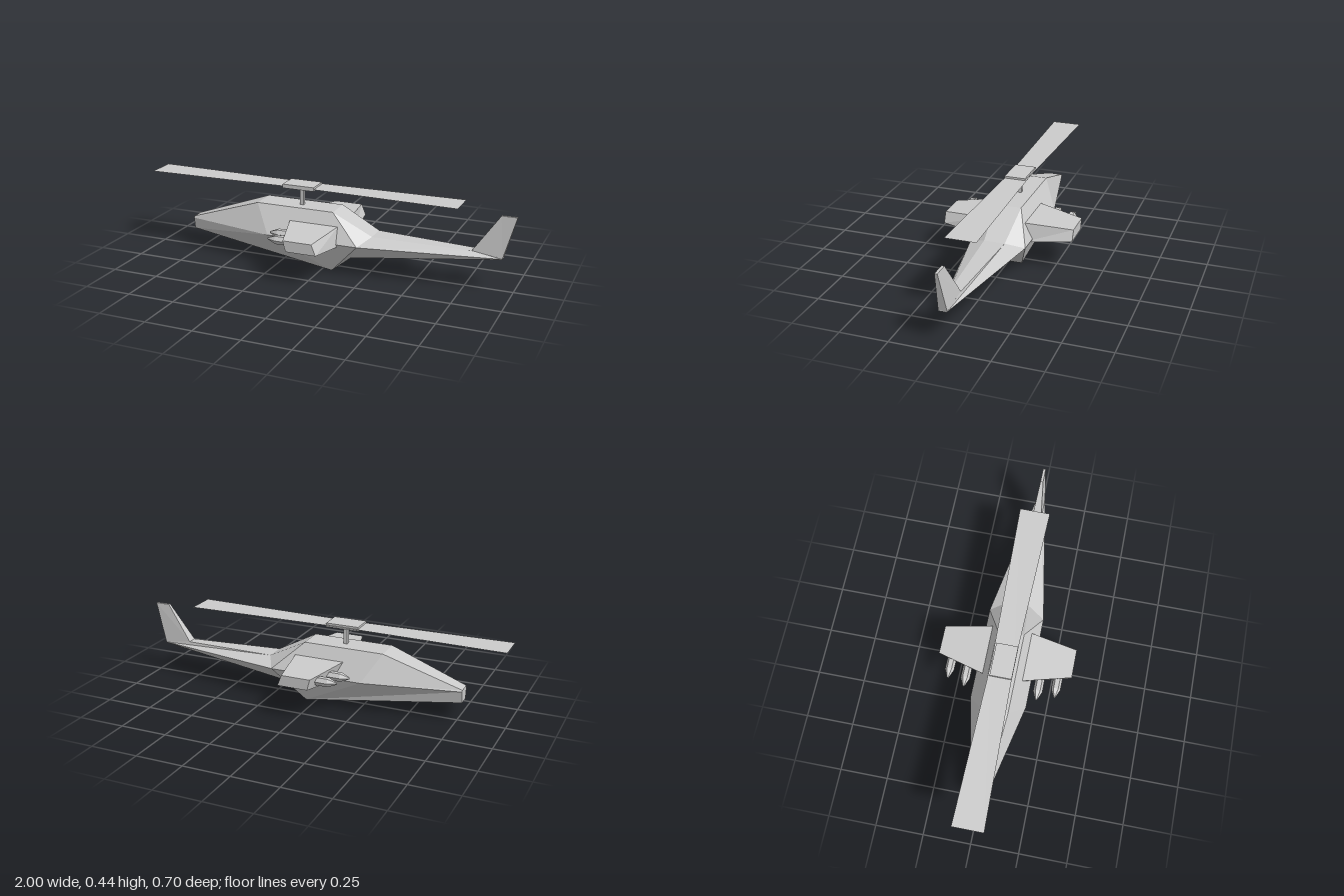
import * as THREE from 'three';

const grey = new THREE.MeshStandardMaterial({ color: 0xcccccc, flatShading: true });
const greyThin = new THREE.MeshStandardMaterial({ color: 0xcccccc, flatShading: true, side: THREE.DoubleSide });

// Skins a row of equal-length rings (counter-clockwise seen from the last ring) and caps both ends.
function loft(rings) {
  const pos = [];
  const tri = (a, b, c) => pos.push(...a, ...b, ...c);
  const n = rings[0].length;
  for (let r = 0; r < rings.length - 1; r++) {
    const a = rings[r], b = rings[r + 1];
    for (let i = 0; i < n; i++) {
      const j = (i + 1) % n;
      tri(a[i], a[j], b[i]);
      tri(b[i], a[j], b[j]);
    }
  }
  const first = rings[0], last = rings[rings.length - 1];
  for (let i = 1; i < n - 1; i++) {
    tri(first[0], first[i + 1], first[i]);
    tri(last[0], last[i], last[i + 1]);
  }
  const g = new THREE.BufferGeometry();
  g.setAttribute('position', new THREE.Float32BufferAttribute(pos, 3));
  g.computeVertexNormals();
  return g;
}

function add(parent, name, geometry, x = 0, y = 0, z = 0, material = grey) {
  const mesh = new THREE.Mesh(geometry, material);
  mesh.name = name;
  mesh.position.set(x, y, z);
  parent.add(mesh);
  return mesh;
}

// Each station: roof edge, waist edge and keel edge as [x, y, half width]
function fuselageGeometry() {
  const waistRear = [0.22, 0.175, 0.147], keel = [0.055, 0, 0.073];
  const tailWaist = [0.94, 0.175, 0.022], tailKeel = [0.94, 0.172, 0.02];
  const stations = [
    [[-0.78, 0.18, 0.035], [-0.78, 0.172, 0.04], [-0.78, 0.11, 0.03]],
    [[-0.37, 0.32, 0.07], [-0.28, 0.175, 0.147], keel],
    [[0.06, 0.32, 0.07], waistRear, keel],
    [[0.27, 0.21, 0.055], waistRear, [0.16, 0.083, 0.065]],
    [[0.79, 0.2, 0.026], tailWaist, tailKeel],
    [[0.94, 0.178, 0.022], tailWaist, tailKeel],
  ];
  return loft(stations.map((s) => [
    ...s,
    ...s.slice().reverse().map(([x, y, w]) => [x, y, -w]),
  ]));
}

// Swept tail fin, thinning towards the top
function finGeometry() {
  const ring = (x0, y0, w0, x1, y1, w1) =>
    [[x0, y0, -w0], [x0, y0, w0], [x1, y1, w1], [x1, y1, -w1]];
  return loft([
    ring(0.785, 0.2, 0.026, 0.94, 0.177, 0.022),
    ring(0.92, 0.393, 0.007, 1, 0.393, 0.007),
  ]);
}

// Thick tapered stub wing; side is +1 or -1
function wingGeometry(side) {
  const ring = (pts, z) => {
    const r = pts.map(([x, y]) => [x, y, z * side]);
    return side > 0 ? r : r.reverse();
  };
  return loft([
    ring([[-0.168, 0.257], [-0.136, 0.157], [0.115, 0.157], [0.1, 0.257]], 0.105),
    ring([[-0.095, 0.238], [-0.08, 0.181], [0.083, 0.181], [0.06, 0.238]], 0.352),
  ]);
}

export function createModel() {
  const model = new THREE.Group();
  model.name = 'helicopter';

  add(model, 'fuselage', fuselageGeometry());
  add(model, 'tailFin', finGeometry());

  for (const side of [1, -1]) {
    const label = side > 0 ? 'left' : 'right';
    add(model, label + 'Wing', wingGeometry(side));

    // Two rockets under each wing, noses towards -x
    for (const [tip, z] of [[-0.24, 0.192], [-0.21, 0.282]]) {
      const rocket = new THREE.Group();
      rocket.name = label + 'Rocket';
      const body = new THREE.CylinderGeometry(0.024, 0.024, 0.16, 6).rotateZ(Math.PI / 2);
      const nose = new THREE.CylinderGeometry(0.005, 0.024, 0.045, 6).rotateZ(Math.PI / 2);
      add(rocket, 'rocketBody', body, 0.125);
      add(rocket, 'rocketNose', nose, 0.0225);
      rocket.position.set(tip, 0.212, z * side);
      model.add(rocket);
    }
  }

  // Rotor: mast, flat hub and one paper-thin blade pair widening to the tips
  const rotor = new THREE.Group();
  rotor.name = 'rotor';
  rotor.position.set(-0.14, 0, 0.004);
  add(rotor, 'mast', new THREE.BoxGeometry(0.02, 0.12, 0.022), 0, 0.36, 0);
  add(rotor, 'hub', new THREE.BoxGeometry(0.176, 0.021, 0.112), 0, 0.425, 0);
  const blade = new THREE.Shape([
    [-0.86, -0.08], [0, -0.058], [0.86, -0.08], [0.86, 0.08], [0, 0.058], [-0.86, 0.08],
  ].map(([x, y]) => new THREE.Vector2(x, y)));
  add(rotor, 'blades', new THREE.ShapeGeometry(blade).rotateX(-Math.PI / 2), 0, 0.425, -0.004, greyThin);
  model.add(rotor);

  return model;
}
